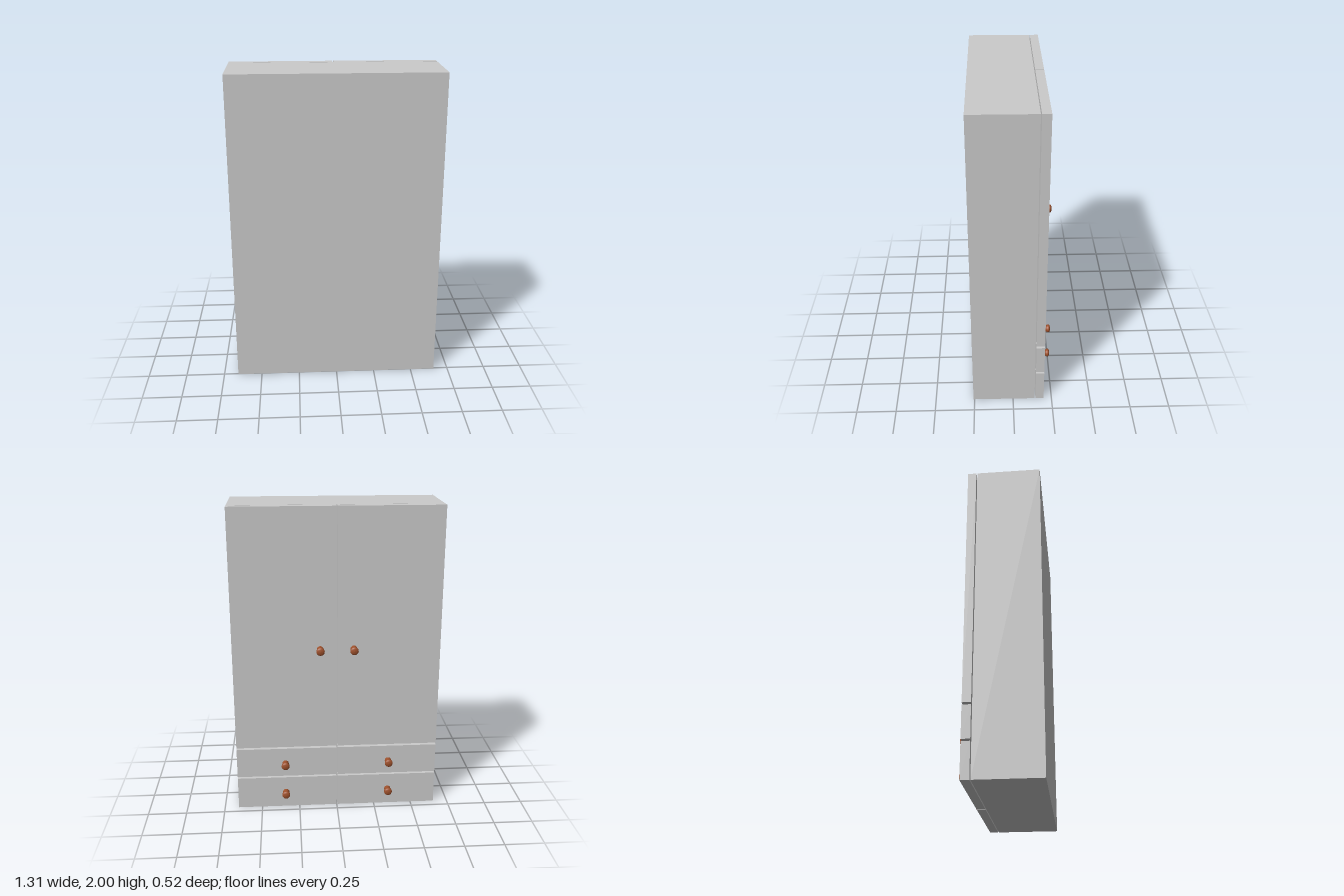
import * as THREE from 'three';

export function createModel() {
  const wardrobe = new THREE.Group();
  wardrobe.name = 'wardrobe';
  const grey = new THREE.MeshStandardMaterial({ color: 0xcccccc });
  const copper = new THREE.MeshStandardMaterial({ color: 0xa0522d });

  // Box given by its min and max corners
  function box(name, [x0, y0, z0], [x1, y1, z1]) {
    const mesh = new THREE.Mesh(new THREE.BoxGeometry(x1 - x0, y1 - y0, z1 - z0), grey);
    mesh.position.set((x0 + x1) / 2, (y0 + y1) / 2, (z0 + z1) / 2);
    mesh.name = name;
    wardrobe.add(mesh);
  }

  // Turned knob: round stem with a wider, slightly domed head
  const stemGeometry = new THREE.CylinderGeometry(0.021, 0.021, 0.04, 32);
  stemGeometry.translate(0, 0.016, 0);
  const headProfile = [
    [0, 0.032], [0.021, 0.032], [0.0255, 0.037], [0.026, 0.046],
    [0.0235, 0.052], [0.014, 0.0555], [0, 0.057],
  ].map(([r, h]) => new THREE.Vector2(r, h));
  const headGeometry = new THREE.LatheGeometry(headProfile, 32);

  function knob(name, x, y, z) {
    const group = new THREE.Group();
    group.name = name;
    const stem = new THREE.Mesh(stemGeometry, copper);
    stem.name = 'knobStem';
    const head = new THREE.Mesh(headGeometry, copper);
    head.name = 'knobHead';
    group.add(stem, head);
    group.rotation.x = -Math.PI / 2; // points toward -z
    group.position.set(x, y, z);
    wardrobe.add(group);
  }

  // Carcass
  box('carcass', [-0.657, 0, -0.14], [0.657, 2, 0.257]);

  // Two columns of fronts, separated from the carcass and each other by thin gaps
  const rows = [
    { name: 'lowerDrawer', y0: 0, y1: 0.215, knobX: 0.34, knobY: 0.107, knobZ: -0.198 },
    { name: 'upperDrawer', y0: 0.227, y1: 0.425, knobX: 0.34, knobY: 0.319, knobZ: -0.198 },
    { name: 'door', y0: 0.438, y1: 2, knobX: 0.106, knobY: 1.109, knobZ: -0.203 },
  ];
  const columns = [
    { side: 'right', sign: -1, x0: -0.657, x1: -0.005 },
    { side: 'left', sign: 1, x0: 0.003, x1: 0.657 },
  ];
  for (const { side, sign, x0, x1 } of columns) {
    for (const { name, y0, y1, knobX, knobY, knobZ } of rows) {
      const label = side + name[0].toUpperCase() + name.slice(1);
      box(label, [x0, y0, -0.199], [x1, y1, -0.146]);
      knob(label + 'Knob', sign * knobX - 0.001, knobY, knobZ);
    }
  }
  return wardrobe;
}
